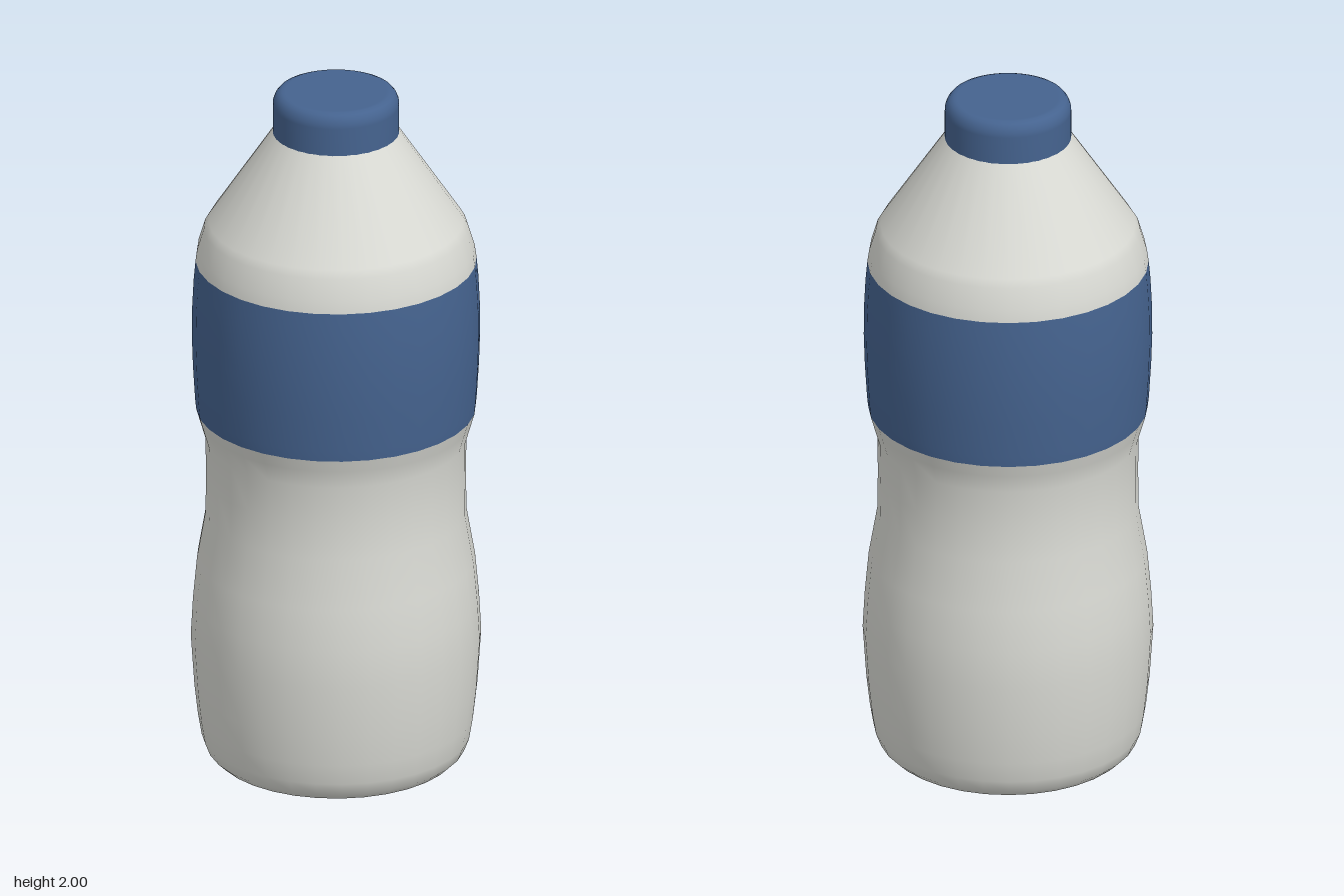
import * as THREE from 'three';

const SIDES = 32;

// Turns a list of [radius, height] pairs, bottom to top, into a named solid of revolution
function turned(name, profile, material, sides = SIDES) {
  const points = profile.map(([r, y]) => new THREE.Vector2(r, y));
  const mesh = new THREE.Mesh(new THREE.LatheGeometry(points, sides), material);
  mesh.name = name;
  return mesh;
}

export function createModel() {
  const plastic = new THREE.MeshStandardMaterial({ color: 0xd9dad4 });
  plastic.name = 'pale grey plastic';
  const blue = new THREE.MeshStandardMaterial({ color: 0x45638f });
  blue.name = 'blue';

  const bottle = new THREE.Group();
  bottle.name = 'bottle';

  // Flat base, rounded foot, full belly and narrow grip
  bottle.add(turned('lowerBody', [
    [0, 0], [0.28, 0], [0.3, 0.002], [0.335, 0.012], [0.358, 0.034], [0.372, 0.07], [0.382, 0.13],
    [0.392, 0.22], [0.402, 0.37], [0.396, 0.48], [0.385, 0.6], [0.361, 0.74],
    [0.36, 0.85], [0.361, 0.96], [0.377, 1.015], [0.387, 1.05],
  ], plastic));

  // Wrapped label, following the bulge of the body
  bottle.add(turned('label', [
    [0.387, 1.05], [0.39, 1.08], [0.396, 1.18], [0.399, 1.27], [0.398, 1.36],
    [0.394, 1.44], [0.389, 1.495],
  ], blue));

  // Rounded shoulder and conical neck
  bottle.add(turned('shoulder', [
    [0.389, 1.495], [0.384, 1.53], [0.366, 1.59], [0.353, 1.612], [0.172, 1.885],
  ], plastic));

  // Screw cap: flat underside, straight wall, rounded rim, flat top
  bottle.add(turned('capUnderside', [[0, 1.878], [0.175, 1.878]], blue, 64));
  bottle.add(turned('capWall', [
    [0.175, 1.878], [0.175, 1.96], [0.174, 1.972], [0.169, 1.985], [0.161, 1.995],
    [0.15, 2], [0.14, 2], [0, 2],
  ], blue, 64));

  return bottle;
}
